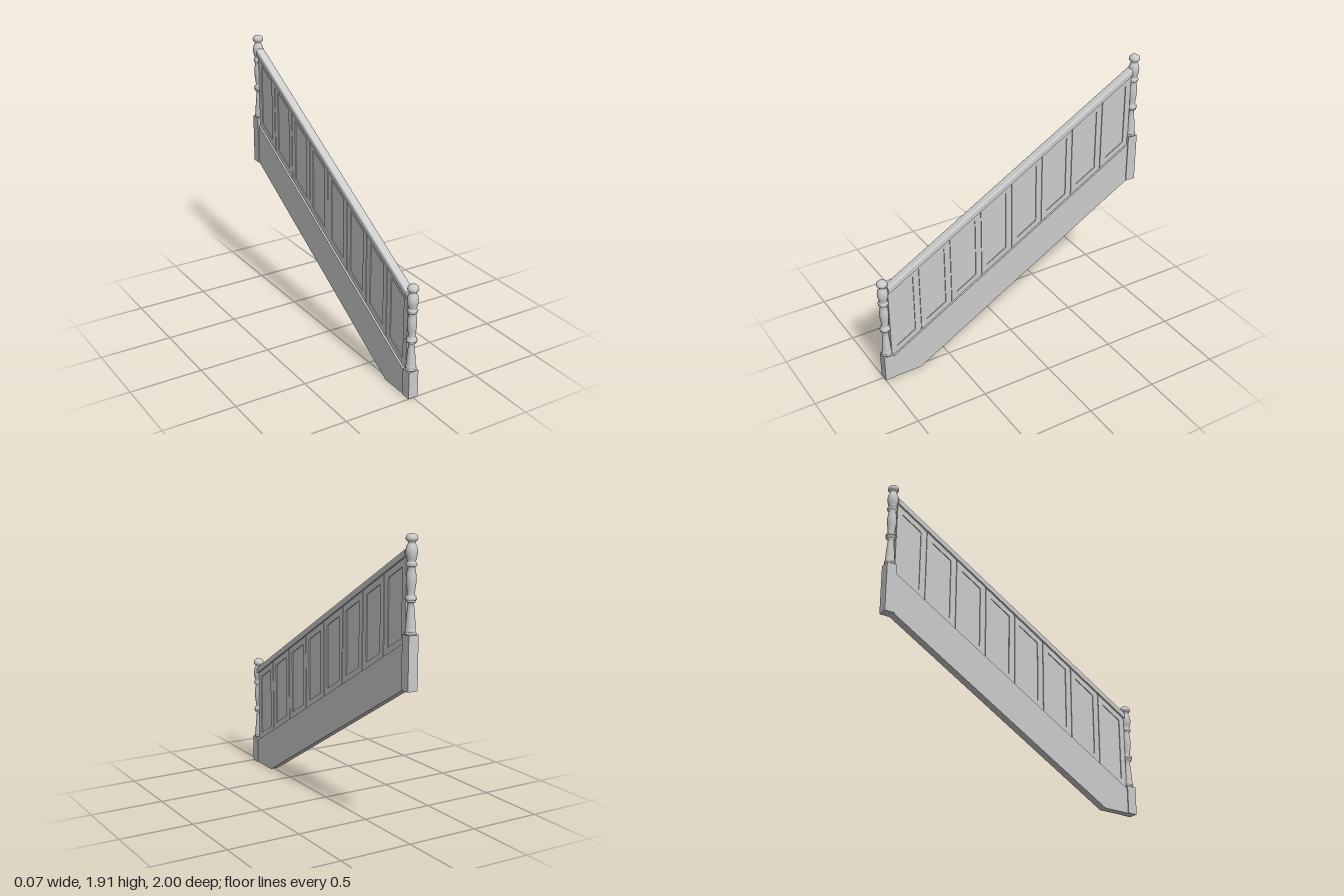
import * as THREE from 'three';

const material = new THREE.MeshStandardMaterial({ color: 0xcccccc });
const SLOPE = 0.578;                       // rise per unit towards -z
const END = 0.935;                         // where the infill meets the posts
const rake = (y0, z) => y0 - SLOPE * z;    // height of a sloped line that is y0 at z = 0

function add(parent, name, geometry) {
  const mesh = new THREE.Mesh(geometry, material);
  mesh.name = name;
  parent.add(mesh);
  return mesh;
}

// Outline of a sloped panel with vertical ends, as (z, y) points
const slopedOutline = (z0, z1, low, high) => [
  new THREE.Vector2(z0, rake(low, z0)),
  new THREE.Vector2(z1, rake(low, z1)),
  new THREE.Vector2(z1, rake(high, z1)),
  new THREE.Vector2(z0, rake(high, z0)),
];

// Extrude a (z, y) shape across x, centred on x = 0
function slab(shape, thickness) {
  const g = new THREE.ExtrudeGeometry(shape, { depth: thickness, bevelEnabled: false });
  g.translate(0, 0, -thickness / 2);
  g.rotateY(-Math.PI / 2);
  return g;
}

// Turned upper part of a post: radius, height above the square block
const turning = [
  [0, 0], [0.034, 0], [0.037, 0.007], [0.034, 0.014], [0.031, 0.016], [0.036, 0.022],
  [0.032, 0.029], [0.031, 0.04], [0.027, 0.1], [0.021, 0.16], [0.019, 0.19],
  [0.028, 0.194], [0.033, 0.199], [0.028, 0.204], [0.036, 0.209], [0.037, 0.215],
  [0.029, 0.221], [0.033, 0.226], [0.028, 0.232], [0.022, 0.236],
  [0.025, 0.265], [0.030, 0.305], [0.031, 0.335], [0.028, 0.37], [0.022, 0.402],
  [0.031, 0.406], [0.034, 0.411], [0.030, 0.416], [0.036, 0.422], [0.030, 0.429],
  [0.025, 0.433], [0.029, 0.447], [0.035, 0.472], [0.037, 0.495], [0.033, 0.52],
  [0.024, 0.537], [0.021, 0.545], [0.027, 0.552], [0.035, 0.56], [0.037, 0.57],
  [0.034, 0.583], [0.024, 0.593], [0.012, 0.597], [0, 0.598],
].map(([r, y]) => new THREE.Vector2(r, y));

function makePost(name, z, bottom, blockTop) {
  const post = new THREE.Group();
  post.name = name;
  const h = blockTop - bottom;
  add(post, 'postBlock', new THREE.BoxGeometry(0.07, h, 0.07)).position.set(0, bottom + h / 2, z);
  add(post, 'turnedPost', new THREE.LatheGeometry(turning, 28)).position.set(0, blockTop, z);
  return post;
}

// Handrail with a rounded top, sheared to follow the slope
function makeRail() {
  const w = 0.03, low = 1.228, high = 1.275, r = 0.016;
  const s = new THREE.Shape();
  s.moveTo(-w, low);
  s.lineTo(w, low);
  s.lineTo(w, high - r);
  s.quadraticCurveTo(w, high, w - r, high);
  s.lineTo(-w + r, high);
  s.quadraticCurveTo(-w, high, -w, high - r);
  const g = new THREE.ExtrudeGeometry(s, { depth: 2 * END, bevelEnabled: false, curveSegments: 5 });
  g.translate(0, 0, -END);
  const p = g.attributes.position;
  for (let i = 0; i < p.count; i++) p.setY(i, rake(p.getY(i), p.getZ(i)));
  g.computeVertexNormals();
  return g;
}

export function createModel() {
  const model = new THREE.Group();
  model.name = 'stairBalustrade';

  model.add(makePost('lowerPost', 0.965, 0, 0.192));
  model.add(makePost('upperPost', -0.965, 0.965, 1.308));
  add(model, 'handrail', makeRail());

  // Sloped string board, cut level where it meets the floor
  const low = 0.424, top = 0.712;
  const stringer = new THREE.Shape([
    new THREE.Vector2(END, 0),
    new THREE.Vector2(END, rake(top, END)),
    new THREE.Vector2(-END, rake(top, -END)),
    new THREE.Vector2(-END, rake(low, -END)),
    new THREE.Vector2(low / SLOPE, 0),
  ]);
  add(model, 'stringer', slab(stringer, 0.058));

  // Thin core sheet forming the recessed fields on both sides
  add(model, 'panelCore', slab(new THREE.Shape(slopedOutline(-END, END, top - 0.01, 1.235)), 0.02));

  // Eight panel frames separated by narrow grooves
  const count = 8, pitch = 0.236, gap = 0.003, inset = 0.04;
  const panels = new THREE.Group();
  panels.name = 'panelFrames';
  for (let i = 0; i < count; i++) {
    const z0 = Math.max(-END, (i - count / 2) * pitch + gap);
    const z1 = Math.min(END, (i + 1 - count / 2) * pitch - gap);
    const frame = new THREE.Shape(slopedOutline(z0, z1, top - 0.005, 1.233));
    frame.holes.push(new THREE.Path(slopedOutline(z0 + inset, z1 - inset, top + 0.045, 1.185)));
    add(panels, 'panelFrame', slab(frame, 0.032));
  }
  model.add(panels);
  return model;
}
